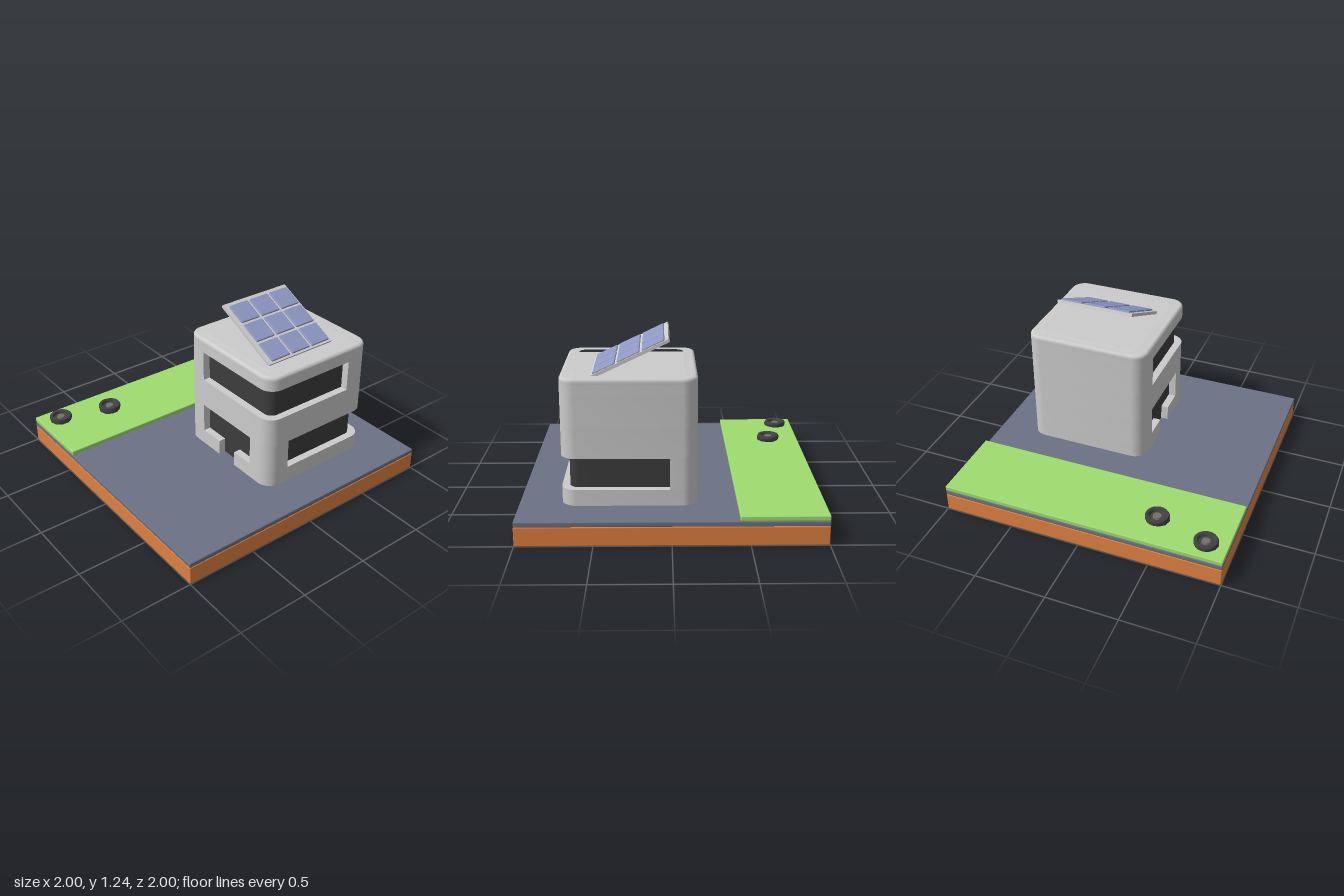
import * as THREE from 'three';
import { toCreasedNormals } from 'three/addons/utils/BufferGeometryUtils.js';
import { RoundedBoxGeometry } from 'three/addons/geometries/RoundedBoxGeometry.js';

const mat = (color, side = THREE.FrontSide) => new THREE.MeshStandardMaterial({ color, side });

// Traces a closed outline of [x, z, cornerRadius] points, rounding the corners that have a radius
function outline(points, path = new THREE.Shape()) {
  const v = points.map(([x, z]) => new THREE.Vector2(x, -z));
  points.forEach(([, , r = 0], i) => {
    const p = v[i];
    const toward = (q, d) => p.clone().add(q.clone().sub(p).setLength(d));
    const prev = v[(i + v.length - 1) % v.length], next = v[(i + 1) % v.length];
    const a = r ? toward(prev, r) : p;
    if (i === 0) path.moveTo(a.x, a.y);
    else path.lineTo(a.x, a.y);
    if (r) {
      const c = toward(prev, r * 0.45), d = toward(next, r * 0.45), b = toward(next, r);
      path.bezierCurveTo(c.x, c.y, d.x, d.y, b.x, b.y);
    }
  });
  path.closePath();
  return path;
}

// Building footprint
const L = -0.17, R = 0.72, B = -0.74, F = 0.15, RAD = 0.1;
const footprint = (inset, r) => [
  [L + inset, F - inset, r], [L + inset, B + inset, r],
  [R - inset, B + inset, r], [R - inset, F - inset, r],
];

export function createModel() {
  const model = new THREE.Group();
  const grey = mat(0xcccccc), dark = mat(0x3c3c3c);

  const add = (name, geometry, material, x = 0, y = 0, z = 0, parent = model) => {
    const mesh = new THREE.Mesh(geometry, material);
    mesh.name = name;
    mesh.position.set(x, y, z);
    parent.add(mesh);
    return mesh;
  };

  // Vertical prism between two heights, optionally with rounded rims
  const prism = (name, shape, y0, y1, material, parent, bevel = 0) => {
    const g = new THREE.ExtrudeGeometry(shape, {
      depth: y1 - y0 - 2 * bevel, curveSegments: 12, bevelEnabled: bevel > 0,
      bevelSize: bevel, bevelThickness: bevel, bevelOffset: -bevel, bevelSegments: 5,
    });
    g.translate(0, 0, bevel).rotateX(-Math.PI / 2);
    return add(name, toCreasedNormals(g, 0.6), material, 0, y0, 0, parent);
  };

  // Ground slabs
  const slab = (name, w, h, d, color, x, y) =>
    add(name, new RoundedBoxGeometry(w, h, d, 2, 0.007), mat(color), x, y + h / 2, 0);
  slab('earthBase', 2, 0.13, 2, 0xdf8040, 0, 0);
  slab('pavement', 2, 0.035, 2, 0x6c7284, 0, 0.13);
  slab('lawn', 0.57, 0.035, 2, 0x9fdc70, -0.715, 0.165);

  // Building: dark glazed core wrapped in wall bands, open where the windows are
  const house = new THREE.Group();
  house.name = 'building';
  model.add(house);
  prism('glazedCore', outline(footprint(0.053, 0.06)), 0.165, 0.93, dark, house);

  prism('plinthWithDoorway', outline([
    [0.19, F], [L, F, RAD], [L, B, RAD], [R, B, RAD], [R, F, RAD],
    [0.36, F], [0.36, 0.07], [0.19, 0.07],
  ]), 0.165, 0.275, grey, house);
  prism('lowerWallLeft', outline([
    [0.01, F], [L, F, RAD], [L, B, RAD], [0.01, B],
  ]), 0.275, 0.49, grey, house);
  // this pier stops short of the rear corner window
  prism('lowerWallCorner', outline([
    [0.53, F], [R, F, RAD], [R, -0.03], [0.6, -0.03], [0.53, 0.03],
  ]), 0.275, 0.49, grey, house);
  prism('middleBand', outline(footprint(0, RAD)), 0.49, 0.7, grey, house);
  prism('upperWall', outline([
    [0.01, F], [L, F, RAD], [L, B, RAD], [R, B, RAD], [R, -0.55], [0.6, -0.55], [0.01, 0.03],
  ]), 0.7, 0.92, grey, house);
  prism('roofSlab', outline(footprint(0, RAD)), 0.92, 0.985, grey, house);

  // Parapet ring around the roof
  const ring = outline(footprint(0, RAD));
  ring.holes.push(outline(footprint(0.057, 0.085), new THREE.Path()));
  prism('parapet', ring, 0.961, 1.022, grey, house, 0.022);

  // Tilted solar panel with a 3 x 3 grid of cells
  const solar = new THREE.Group();
  solar.name = 'solarPanel';
  solar.position.set(0.267, 1.108, -0.29);
  solar.rotation.z = -0.445;
  model.add(solar);
  add('panelFrame', new THREE.BoxGeometry(0.56, 0.022, 0.56), grey, 0, 0, 0, solar);
  const cellGeometry = new RoundedBoxGeometry(0.16, 0.024, 0.16, 3, 0.008);
  const cellMaterial = mat(0x8e98c4);
  for (let i = -1; i <= 1; i++) {
    for (let j = -1; j <= 1; j++) {
      add('solarCell', cellGeometry, cellMaterial, i * 0.178 + 0.006, 0.01, j * 0.178 - 0.01, solar);
    }
  }

  // Round fittings lying on the lawn: rounded rim, sunken dish and raised hub
  const profile = [
    [0, 0], [0.07, 0], [0.078, 0.006], [0.082, 0.018], [0.082, 0.034], [0.077, 0.042],
    [0.06, 0.042], [0.055, 0.036], [0.05, 0.022], [0.034, 0.022],
  ].map(([x, y]) => new THREE.Vector2(x, y));
  const rim = toCreasedNormals(new THREE.LatheGeometry(profile, 32), 0.6);
  const rimMaterial = mat(0x414141, THREE.DoubleSide), hubMaterial = mat(0x707070);
  for (const [x, z, y] of [[-0.77, 0.48, 0.2], [-0.87, 0.85, 0.192]]) {
    const disc = new THREE.Group();
    disc.name = 'lawnDisc';
    disc.position.set(x, y, z);
    model.add(disc);
    add('discRim', rim, rimMaterial, 0, 0, 0, disc);
    add('discHub', new THREE.CylinderGeometry(0.028, 0.036, 0.032, 24), hubMaterial, 0, 0.016, 0, disc);
    add('discFoot', new THREE.CylinderGeometry(0.08, 0.08, 0.018, 10), rimMaterial, 0.006, 0.01, 0.006, disc);
  }

  return model;
}
